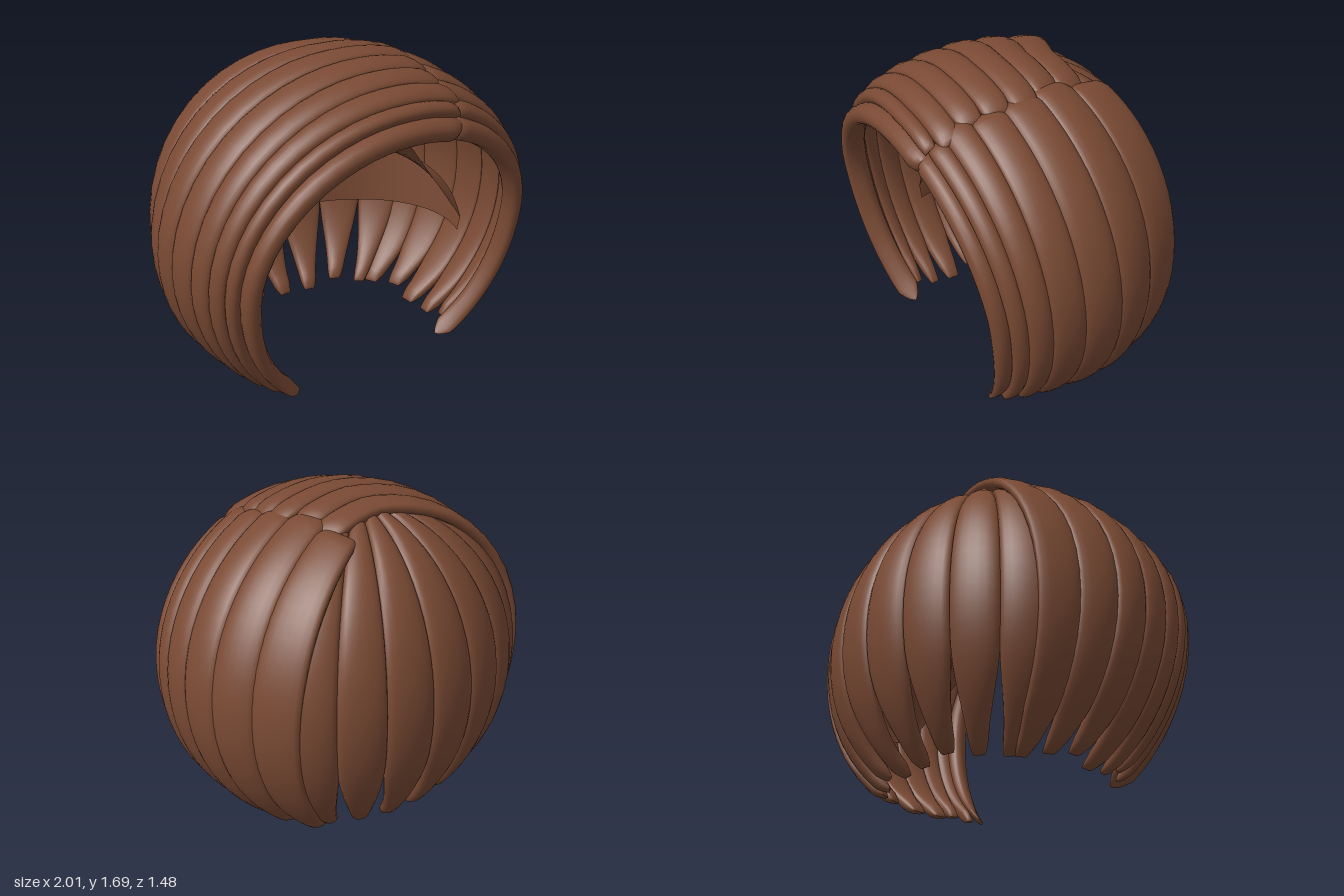
import * as THREE from 'three';

const RAD = Math.PI / 180;
const MID_Y = 0.75;
const hair = new THREE.MeshStandardMaterial({ color: 0x7a4a34 });
const hairInside = new THREE.MeshStandardMaterial({ color: 0x7a4a34, side: THREE.DoubleSide });
const vec = (x, y, z) => new THREE.Vector3(x, y, z);

// Side guides from the face edge (u = 0) to behind the ear (u = 1)
const radii = new THREE.CatmullRomCurve3([
  vec(0.78, 0.62, 0), vec(0.88, 0.755, 0), vec(0.95, 0.865, 0), vec(0.955, 0.915, 0), vec(0.79, 0.88, 0),
], false, 'catmullrom');
// Depth (z) of each guide at the top, the cheek and the tip
const depths = new THREE.CatmullRomCurve3([
  vec(0.66, 0.62, 0.42), vec(0.66, 0.555, 0.39), vec(0.43, 0.35, 0.23), vec(0.12, -0.02, -0.06), vec(-0.2, -0.44, -0.3),
], false, 'catmullrom');

// Point on the side hair; side is +1 (left) or -1 (right)
function sidePoint(side, u, degrees) {
  const along = THREE.MathUtils.clamp(u, 0, 1);
  const r = radii.getPoint(along), d = depths.getPoint(along);
  const t = degrees * RAD, w = Math.max(0, degrees / 145);
  const z = d.x * (1 - w) * (1 - 2 * w) + d.y * 4 * w * (1 - w) + d.z * w * (2 * w - 1);
  const ry = Math.cos(t) > 0 ? r.y : 0.88;
  return vec(side * r.x * Math.sin(t), MID_Y + ry * Math.cos(t), z);
}

// Point on the back hair, radiating from the crown
function backPoint(u, degrees) {
  const phi = (u - 0.5) * 116 * RAD, a = degrees * RAD;
  const ry = Math.cos(a) > 0 ? 0.88 : 0.87;
  return vec(0.95 * Math.sin(a) * Math.sin(phi), MID_Y + ry * Math.cos(a), -0.7 * Math.sin(a) * Math.cos(phi));
}

// Closed, cushioned strand over the strip u0..u1 of a guide surface point(u, v)
function lockGeometry(point, u0, u1, { lift, thick, taperFrom, tip = 0.6, spread = 1.08 }) {
  const rows = 34, sides = 18, e = 0.004;
  const positions = [], index = [];
  const centre = vec(0, MID_Y, 0);
  const mid = (u0 + u1) / 2, half = (u1 - u0) / 2;
  const normalAt = (u, v) => {
    const du = point(u + e, v).sub(point(u - e, v));
    const dv = point(u, v + e).sub(point(u, v - e));
    return du.cross(dv).normalize();
  };
  const outward = Math.sign(normalAt(mid, 0.5).dot(point(mid, 0.5).sub(centre)));
  for (let i = 0; i <= rows; i++) {
    const v = (1 - Math.cos(Math.PI * i / rows)) / 2;
    const round = Math.min(1, Math.sqrt(v / 0.03), Math.sqrt((1 - v) / 0.035));
    const narrow = spread - (1 - tip) * THREE.MathUtils.smoothstep(v, taperFrom, 1);
    const width = half * narrow * (0.65 + 0.35 * round);
    const normal = normalAt(mid, v).multiplyScalar(outward);
    for (let j = 0; j < sides; j++) {
      const a = 2 * Math.PI * j / sides, s = Math.sin(a);
      const height = round * thick * Math.sign(s) * Math.pow(Math.abs(s), 0.8);
      const p = point(mid - width * Math.cos(a), v).addScaledVector(normal, height + lift);
      positions.push(p.x, Math.max(0, p.y), p.z);
    }
  }
  const quad = (a, b, c, d) => {
    if (outward > 0) index.push(a, b, c, a, c, d);
    else index.push(a, c, b, a, d, c);
  };
  for (let i = 0; i < rows; i++) {
    for (let j = 0; j < sides; j++) {
      const k = (j + 1) % sides;
      quad(i * sides + j, i * sides + k, (i + 1) * sides + k, (i + 1) * sides + j);
    }
  }
  return indexedGeometry(positions, index);
}

function indexedGeometry(positions, index) {
  const geometry = new THREE.BufferGeometry();
  geometry.setAttribute('position', new THREE.Float32BufferAttribute(positions, 3));
  geometry.setIndex(index);
  geometry.computeVertexNormals();
  return geometry;
}

// Row of neighbouring strands; the first one takes the share "first" of the strip
function lockRow(name, count, surface, start, { first = 1 / count, firstThick = 0.036, ...options }) {
  const group = new THREE.Group();
  group.name = name;
  const edge = (k) => (k === 0 ? 0 : first + (1 - first) * (k - 1) / (count - 1));
  for (let k = 0; k < count; k++) {
    const from = start + 1.5 * Math.sin(k * 2.3);
    const to = 143.5 + 2 * Math.sin(k * 1.9 + 1);
    const point = (u, v) => surface(u, from + (to - from) * v);
    const thick = k === 0 ? firstThick : 0.036;
    const mesh = new THREE.Mesh(lockGeometry(point, edge(k), edge(k + 1), { thick, ...options }), hair);
    mesh.name = name + 'Strand' + (k + 1);
    group.add(mesh);
  }
  return group;
}

// Sheet stretched between two curves, both running over s = -1..1
function ruledSheet(name, curveA, curveB) {
  const across = 48, steps = 8, positions = [], index = [];
  for (let i = 0; i <= steps; i++) {
    for (let j = 0; j <= across; j++) {
      const s = 2 * j / across - 1;
      positions.push(...curveA(s).lerp(curveB(s), i / steps).toArray());
      if (i < steps && j < across) {
        const p = i * (across + 1) + j, q = p + across + 1;
        index.push(p, q, q + 1, p, q + 1, p + 1);
      }
    }
  }
  const mesh = new THREE.Mesh(indexedGeometry(positions, index), hairInside);
  mesh.name = name;
  return mesh;
}

// Inside of the cap: peaked front rim, sloping ceiling and a wall around the back
const rim = (s) => {
  const a = Math.abs(s);
  return vec(0.79 * s, 1.35 - 0.77 * Math.max(0, a - 0.15) / 0.85, 0.5 - 0.29 * a);
};
const wallCurve = (size, y) => (s) =>
  vec(size * 0.84 * Math.sin(s * 110 * RAD), y(s), -size * 0.62 * Math.cos(s * 110 * RAD));
const wallTop = wallCurve(1, (s) => 0.88 - 0.3 * Math.abs(s) ** 3);
const wallBottom = wallCurve(0.98, () => 0.5);

export function createModel() {
  const model = new THREE.Group();
  model.name = 'bobHair';
  model.add(
    ruledSheet('innerCeiling', rim, wallTop),
    ruledSheet('innerWall', wallTop, wallBottom),
    // Right locks sweep across the top from the parting, led by a thick roll
    lockRow('rightLocks', 8, (u, t) => sidePoint(-1, u, t), -23,
      { lift: 0.005, first: 0.2, firstThick: 0.065, taperFrom: 0.88 }),
    lockRow('leftLocks', 7, (u, t) => sidePoint(1, u, t), 19,
      { lift: 0, first: 0.2, firstThick: 0.055, taperFrom: 0.84 }),
    lockRow('backLocks', 7, backPoint, 8, { lift: 0, taperFrom: 0.72, tip: 0.52, spread: 1.02 }),
  );
  return model;
}
